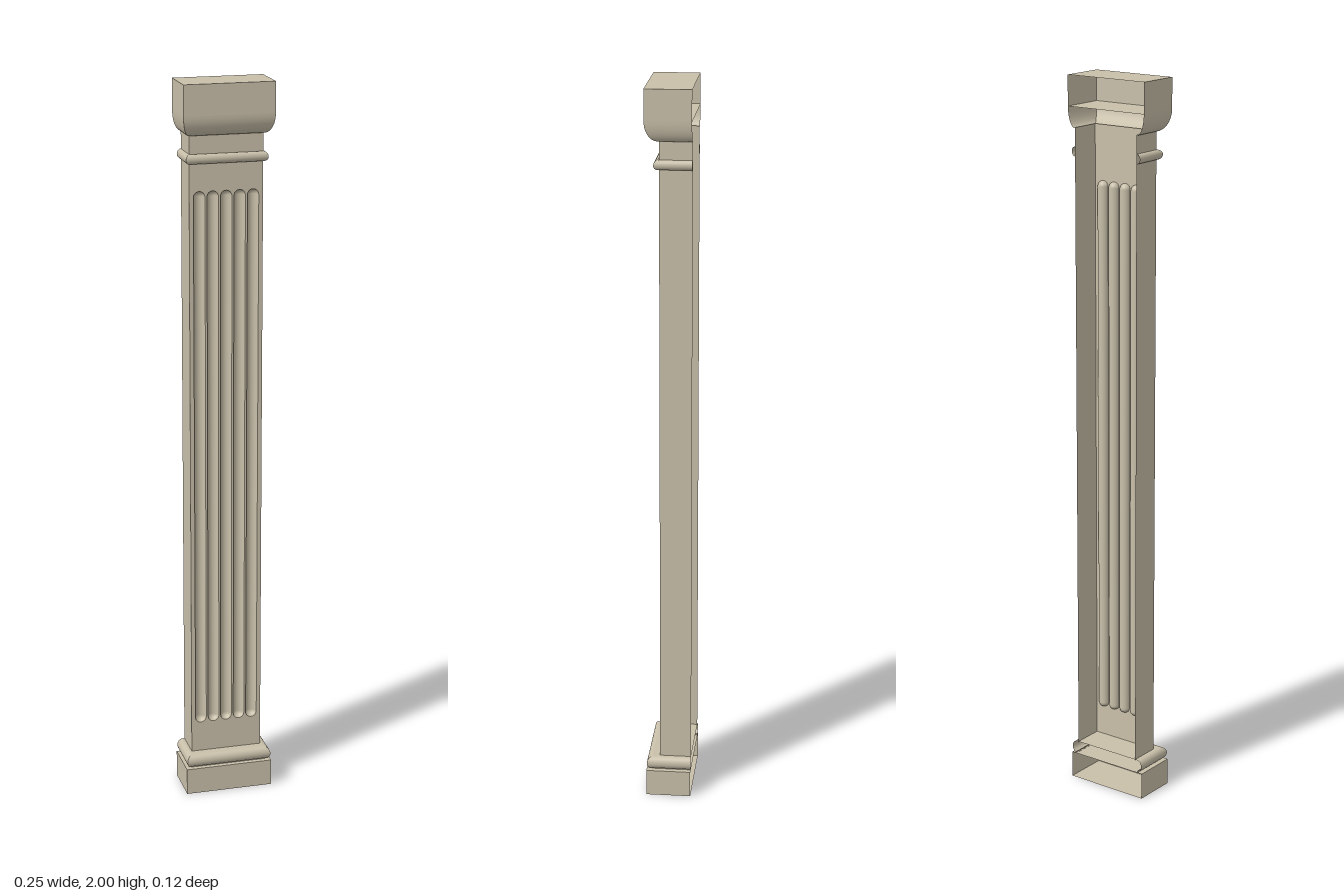
import * as THREE from 'three';

const BACK = -0.062;          // open back plane
const SHAFT = [0.1, 0.025];   // half width, front z
const BLOCK = [0.123, 0.062];

// Sweep a profile of [halfWidth, frontZ, y] (bottom to top) round left side, front and right side
function wrap(profile) {
  const pos = [], idx = [];
  const sides = [
    (w, z, y) => [[-w, y, BACK], [-w, y, z]],
    (w, z, y) => [[-w, y, z], [w, y, z]],
    (w, z, y) => [[w, y, z], [w, y, BACK]],
  ];
  for (const side of sides) {
    const base = pos.length / 3;
    for (const p of profile) pos.push(...side(...p).flat());
    for (let i = 0; i < profile.length - 1; i++) {
      const a = base + i * 2;
      idx.push(a, a + 1, a + 3, a, a + 3, a + 2);
    }
  }
  const g = new THREE.BufferGeometry();
  g.setAttribute('position', new THREE.Float32BufferAttribute(pos, 3));
  g.setIndex(idx);
  g.computeVertexNormals();
  return g;
}

// Half-round moulding: bulges from [w, z] by r (depth d)
function halfRound(w, z, y, r, d, steps = 12) {
  const pts = [];
  for (let i = 0; i <= steps; i++) {
    const a = -Math.PI / 2 + (Math.PI * i) / steps;
    pts.push([w + d * Math.cos(a), z + d * Math.cos(a), y + r * Math.sin(a)]);
  }
  return wrap(pts);
}

export function createModel() {
  const model = new THREE.Group();
  model.name = 'pilaster';
  const stone = new THREE.MeshStandardMaterial({ color: 0xc9c0aa, side: THREE.DoubleSide });
  stone.name = 'warm stone';
  const add = (name, geometry, parent = model) => {
    const m = new THREE.Mesh(geometry, stone);
    m.name = name;
    parent.add(m);
    return m;
  };

  // Horizontal plate from the back plane to the front
  const plate = (name, [w, z], y, parent, up = true) => {
    const g = new THREE.PlaneGeometry(2 * w, z - BACK);
    g.rotateX(up ? -Math.PI / 2 : Math.PI / 2);
    g.translate(0, y, (z + BACK) / 2);
    return add(name, g, parent);
  };

  // Block without a back face
  const block = (name, y0, y1) => {
    const group = new THREE.Group();
    group.name = name;
    model.add(group);
    add(name + 'Walls', wrap([[...BLOCK, y0], [...BLOCK, y1]]), group);
    plate(name + 'Bottom', BLOCK, y0, group, false);
    plate(name + 'Top', BLOCK, y1, group);
  };
  block('plinth', 0, 0.075);
  block('abacus', 1.918, 2);

  // Base moulding with a flat ledge back to the shaft
  add('baseMoulding', halfRound(0.106, 0.046, 0.095, 0.018, 0.015));
  plate('baseMouldingLedge', [0.106, 0.046], 0.113, model);
  add('baseFillet', wrap([[0.108, 0.048, 0.075], [0.108, 0.048, 0.08]]));

  // Collar under the capital
  add('collar', halfRound(SHAFT[0], SHAFT[1] + 0.003, 1.801, 0.013, 0.011));

  // Capital: convex quarter curve out to the block above
  const ovolo = [];
  for (let i = 0; i <= 12; i++) {
    const a = (Math.PI / 2) * (i / 12);
    ovolo.push([
      SHAFT[0] + (BLOCK[0] - SHAFT[0]) * Math.sin(a),
      SHAFT[1] + (BLOCK[1] - SHAFT[1]) * Math.sin(a),
      1.918 - 0.056 * Math.cos(a),
    ]);
  }
  add('capitalCurve', wrap(ovolo));

  // Shaft: fluted front panel and two plain side walls
  const [w, z] = SHAFT, y0 = 0.11, y1 = 1.864;
  const r = 0.0155, lo = 0.2, hi = 1.715;
  const front = new THREE.Shape([[-w, y0], [w, y0], [w, y1], [-w, y1]].map(p => new THREE.Vector2(...p)));

  // Capsule profile for one flute
  const profile = [];
  for (let i = 0; i <= 8; i++) {
    const a = (Math.PI / 2) * (i / 8);
    profile.push(new THREE.Vector2(r * Math.sin(a), lo + r - r * Math.cos(a)));
  }
  for (let i = 0; i <= 8; i++) {
    const a = (Math.PI / 2) * (i / 8);
    profile.push(new THREE.Vector2(r * Math.cos(a), hi - r + r * Math.sin(a)));
  }
  const fluteGeometry = new THREE.LatheGeometry(profile, 14, Math.PI / 2, Math.PI);

  for (let i = -2; i <= 2; i++) {
    const x = i * 0.0365;
    const outline = [
      ...profile.map(p => new THREE.Vector2(x + p.x, p.y)),
      ...profile.slice(1, -1).reverse().map(p => new THREE.Vector2(x - p.x, p.y)),
    ];
    front.holes.push(new THREE.Path(outline));
    add('flute', fluteGeometry).position.set(x, 0, z);
  }
  add('shaftFront', new THREE.ShapeGeometry(front)).position.z = z;

  for (const s of [-1, 1]) {
    const side = add('shaftSide', new THREE.PlaneGeometry(z - BACK, y1 - y0));
    side.rotation.y = (s * Math.PI) / 2;
    side.position.set(s * w, (y0 + y1) / 2, (z + BACK) / 2);
  }
  return model;
}
